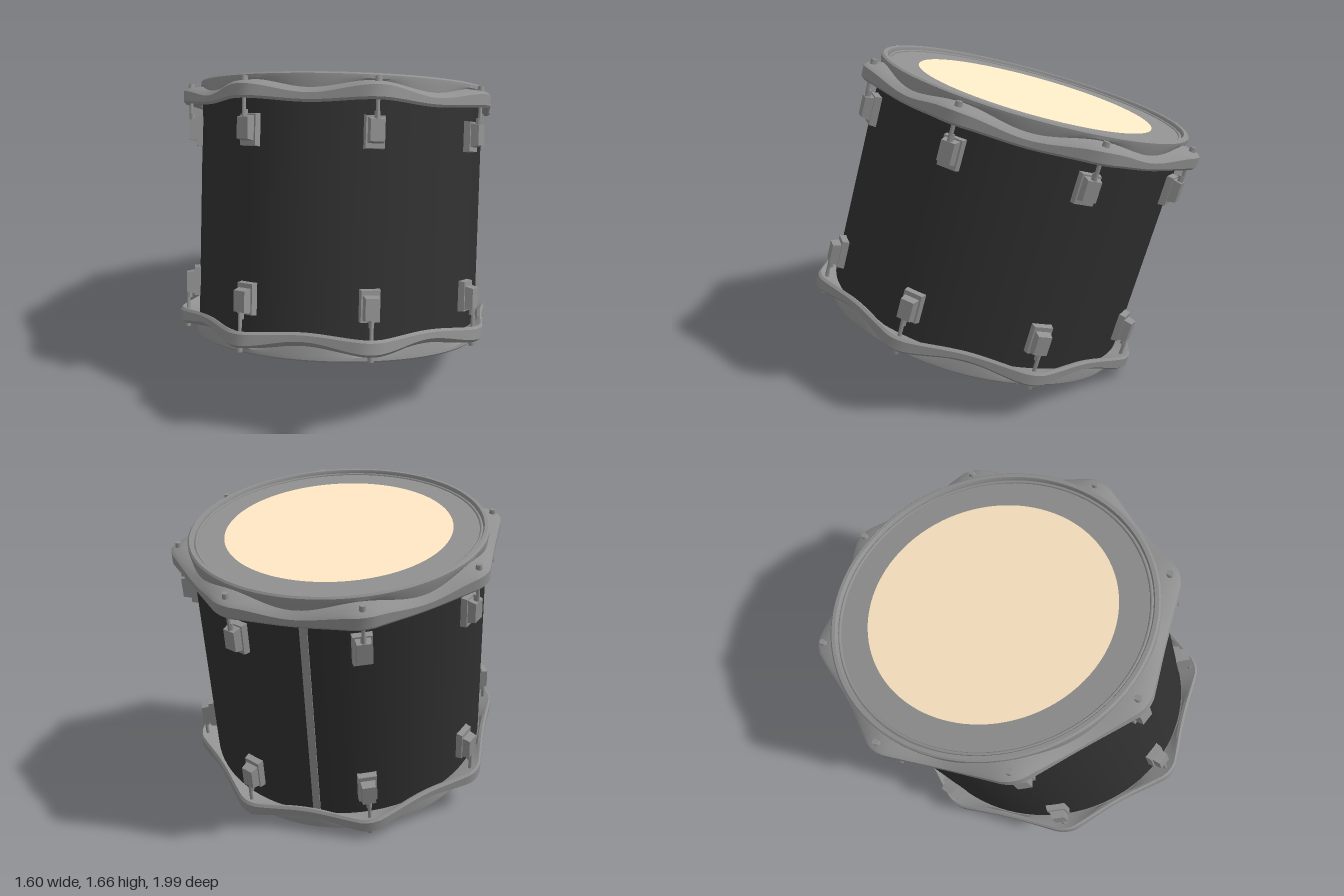
import * as THREE from 'three';
import { toCreasedNormals } from 'three/addons/utils/BufferGeometryUtils.js';

const LUG_STEP = Math.PI / 4;
const LUG_START = THREE.MathUtils.degToRad(17); // angle from +z towards +x
const SHELL_R = 0.732;

const material = (color) => new THREE.MeshStandardMaterial({ color });
const metal = material(0x909090);
const black = material(0x303030);
black.side = THREE.DoubleSide; // open shell
const skin = material(0xffe8c4);

function add(parent, name, geometry, mat, x = 0, y = 0, z = 0) {
  const mesh = new THREE.Mesh(geometry, mat);
  mesh.name = name;
  mesh.position.set(x, y, z);
  parent.add(mesh);
  return mesh;
}

// Cast hoop: a closed cross-section swept round; its flange is a blunt
// eight-sided outline that thickens upwards at each lug
function hoopGeometry(lugStart) {
  const segments = 160, positions = [], index = [];
  let count = 0;
  for (let i = 0; i < segments; i++) {
    const a = (i / segments) * Math.PI * 2;
    const turns = (a - lugStart) / LUG_STEP;
    const fromMid = (turns - Math.floor(turns) - 0.5) * LUG_STEP;
    const w = (1 + Math.cos(turns * Math.PI * 2)) / 2;
    const R = Math.min(0.77 / Math.cos(fromMid), 0.82) + 0.008 * w;
    const T = 0.562 + 0.038 * w;
    const B = 0.507 + 0.015 * w;
    const section = [
      [0.712, 0.56], [0.712, 0.632], [0.718, 0.643], [0.735, 0.643], [0.743, 0.635],
      [0.743, 0.618], [0.737, T + 0.012], [R - 0.016, T], [R, T - 0.014],
      [R, B + 0.012], [R - 0.01, B], [R - 0.024, B + 0.006], [0.738, 0.55],
    ];
    count = section.length;
    for (const [r, y] of section) positions.push(r * Math.sin(a), y, r * Math.cos(a));
    const next = (i + 1) % segments;
    for (let j = 0; j < count; j++) {
      const k = (j + 1) % count;
      const p = i * count + j, q = i * count + k;
      const s = next * count + j, t = next * count + k;
      index.push(p, q, s, s, q, t);
    }
  }
  const g = new THREE.BufferGeometry();
  g.setAttribute('position', new THREE.Float32BufferAttribute(positions, 3));
  g.setIndex(index);
  return toCreasedNormals(g, 0.6);
}

// Box whose outer (+z) face is shrunk
function taperedBox(w, h, d, sx, sy) {
  const g = new THREE.BoxGeometry(w, h, d).toNonIndexed();
  const p = g.attributes.position;
  for (let i = 0; i < p.count; i++) {
    if (p.getZ(i) > 0) p.setXY(i, p.getX(i) * sx, p.getY(i) * sy);
  }
  g.computeVertexNormals();
  return g;
}

const flat = (g) => g.rotateX(-Math.PI / 2);

// One end of the drum, built as the upper end
function drumEnd(name, skinRadius, lugStart) {
  const end = new THREE.Group();
  end.name = name;
  add(end, 'hoop', hoopGeometry(lugStart), metal);
  add(end, 'headRing', flat(new THREE.RingGeometry(skinRadius, 0.715, 96)), metal, 0, 0.62, 0);
  add(end, 'headSkin', flat(new THREE.CircleGeometry(skinRadius, 96)), skin, 0, 0.62, 0);
  add(end, 'headBead', new THREE.TorusGeometry(0.704, 0.008, 8, 96).rotateX(Math.PI / 2), metal, 0, 0.62, 0);

  const plate = taperedBox(0.095, 0.15, 0.035, 0.92, 0.95);
  const block = taperedBox(0.072, 0.115, 0.042, 0.88, 0.85);
  const rod = new THREE.CylinderGeometry(0.009, 0.009, 0.25, 12);
  const collar = new THREE.CylinderGeometry(0.013, 0.013, 0.05, 12);
  const screw = new THREE.CylinderGeometry(0.014, 0.017, 0.03, 12);
  for (let i = 0; i < 8; i++) {
    const lug = new THREE.Group();
    lug.name = 'lug';
    lug.rotation.y = lugStart + i * LUG_STEP;
    add(lug, 'lugPlate', plate, metal, 0, 0.385, SHELL_R + 0.012);
    add(lug, 'lugBlock', block, metal, 0, 0.392, SHELL_R + 0.047);
    add(lug, 'rodCollar', collar, metal, 0, 0.45, 0.783);
    add(lug, 'tensionRod', rod, metal, 0, 0.49, 0.79);
    add(lug, 'rodHead', screw, metal, 0, 0.61, 0.79);
    end.add(lug);
  }
  return end;
}

export function createModel() {
  const model = new THREE.Group();
  model.name = 'drum';

  // Slightly oval body, tipped back
  const tilt = new THREE.Group();
  tilt.name = 'tiltedBody';
  tilt.position.set(0.01, 0.845, 0);
  tilt.rotation.x = THREE.MathUtils.degToRad(-15.2);
  tilt.scale.z = 1.09;
  model.add(tilt);

  add(tilt, 'shell', new THREE.CylinderGeometry(SHELL_R, SHELL_R, 1.16, 96, 1, true), black);

  // Seam strip down the back of the shell
  const seam = new THREE.Group();
  seam.name = 'seam';
  seam.rotation.y = THREE.MathUtils.degToRad(177.5);
  add(seam, 'seamStrip', new THREE.BoxGeometry(0.036, 1.12, 0.012), metal, 0, 0, SHELL_R);
  tilt.add(seam);

  // The lower end is turned over, so its lug angles run the other way
  tilt.add(drumEnd('topEnd', 0.568, LUG_START));
  const bottom = drumEnd('bottomEnd', 0.68, -LUG_START);
  bottom.rotation.z = Math.PI;
  tilt.add(bottom);
  return model;
}
